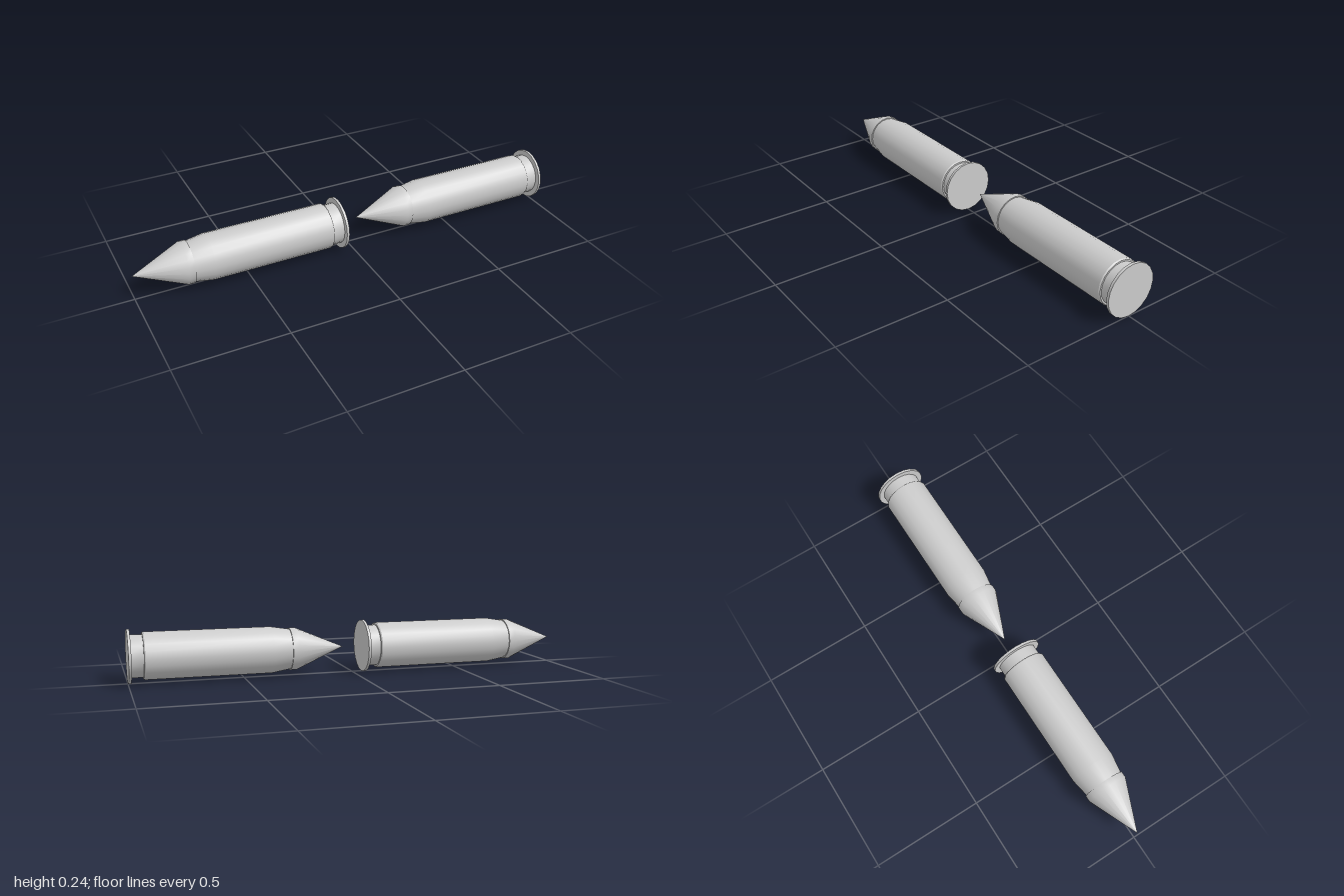
import * as THREE from 'three';
import { toCreasedNormals } from 'three/addons/utils/BufferGeometryUtils.js';

const SIDES = 20;
const RIM_RADIUS = 0.118;
const LENGTH = 0.955;

const material = new THREE.MeshStandardMaterial({ color: 0xcccccc });

// Turned part: profile of [radius, distance from the base], axis along y
function turned(name, profile) {
  const points = profile.map(([r, h]) => new THREE.Vector2(r, h));
  const geometry = toCreasedNormals(new THREE.LatheGeometry(points, SIDES), Math.PI / 6);
  const mesh = new THREE.Mesh(geometry, material);
  mesh.name = name;
  return mesh;
}

function createCartridge(name) {
  const cartridge = new THREE.Group();
  cartridge.name = name;

  // Flat base disc
  cartridge.add(turned('rim', [[0, 0], [RIM_RADIUS, 0], [RIM_RADIUS, 0.012], [0, 0.012]]));

  // Extractor groove between rim and body
  cartridge.add(turned('extractorGroove', [[0.093, 0.012], [0.093, 0.068]]));

  // Straight body, tapering shoulder to the mouth
  cartridge.add(turned('casing', [
    [0.088, 0.064], [0.1, 0.064], [0.104, 0.07], [0.104, 0.62], [0.089, 0.71], [0, 0.71],
  ]));

  // Short collar and pointed tip
  cartridge.add(turned('projectile', [
    [0, 0.705], [0.095, 0.705], [0.095, 0.732], [0, LENGTH],
  ]));

  // Lay it down with the tip toward -x
  cartridge.rotation.z = Math.PI / 2;
  return cartridge;
}

export function createModel() {
  const model = new THREE.Group();
  model.name = 'cartridgePair';
  [['rightCartridge', LENGTH - 1], ['leftCartridge', 1]].forEach(([name, baseX]) => {
    const cartridge = createCartridge(name);
    cartridge.position.set(baseX, RIM_RADIUS, 0);
    model.add(cartridge);
  });
  return model;
}
